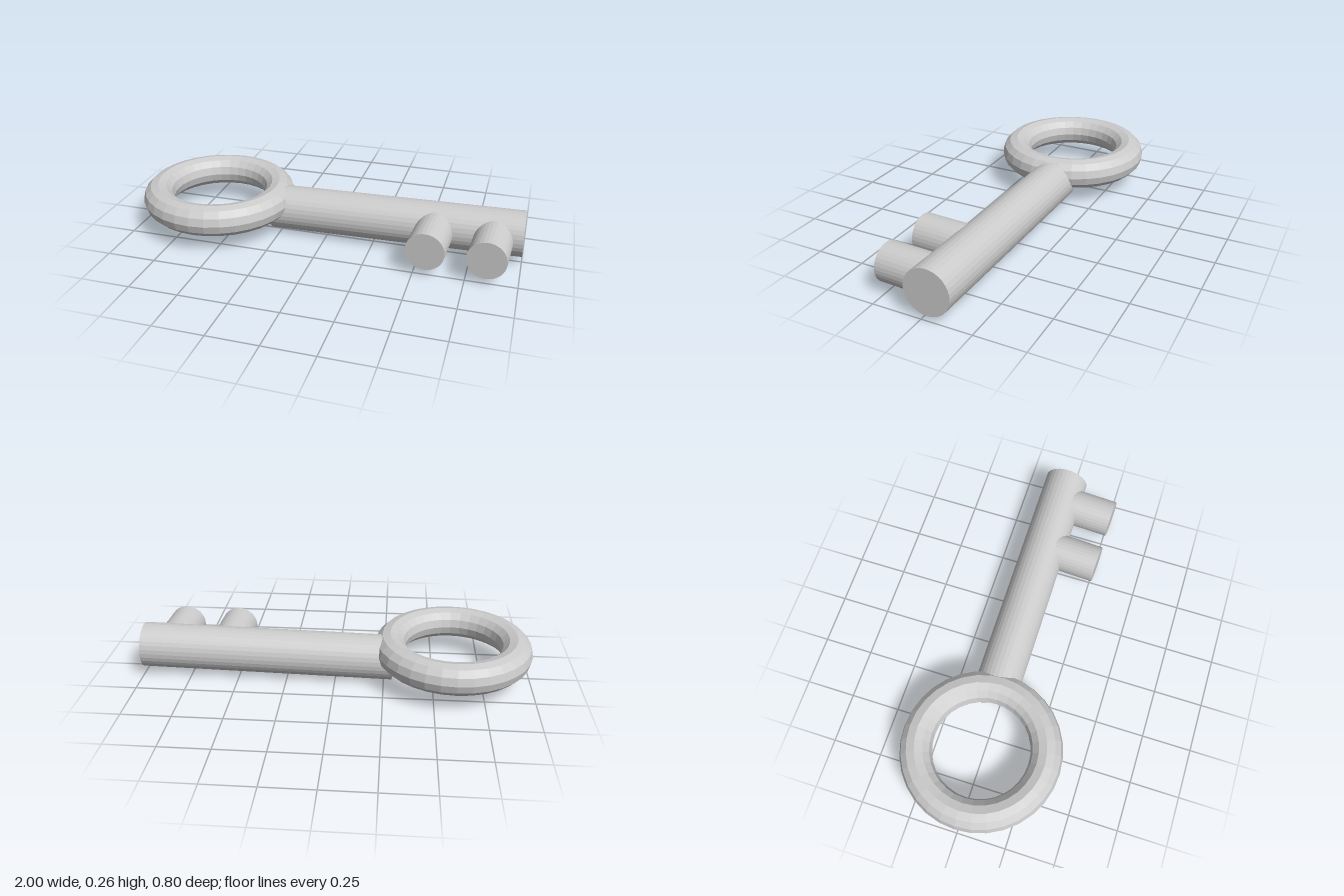
import * as THREE from 'three';

const material = new THREE.MeshStandardMaterial({ color: 0xcccccc, flatShading: true });

// Solid round bar between two points
function rod(name, from, to, radius) {
  const a = new THREE.Vector3(...from), b = new THREE.Vector3(...to);
  const dir = b.clone().sub(a);
  const mesh = new THREE.Mesh(new THREE.CylinderGeometry(radius, radius, dir.length(), 32), material);
  mesh.name = name;
  mesh.position.copy(a).add(b).multiplyScalar(0.5);
  mesh.quaternion.setFromUnitVectors(new THREE.Vector3(0, 1, 0), dir.normalize());
  return mesh;
}

export function createModel() {
  const key = new THREE.Group();
  key.name = 'key';

  // Ring handle lying flat
  const bow = new THREE.Mesh(new THREE.TorusGeometry(0.321, 0.08, 12, 32), material);
  bow.name = 'ringHandle';
  bow.rotation.x = -Math.PI / 2;
  bow.position.set(-0.599, 0.165, 0);
  key.add(bow);

  // Shaft, rising slightly toward its tip
  key.add(rod('shaft', [-0.294, 0.116, -0.033], [0.998, 0.142, -0.033], 0.115));

  // Two slightly slanted teeth
  [0.555, 0.845].forEach((x, i) => {
    key.add(rod(`tooth${i + 1}`, [x + 0.015, 0.132, -0.03], [x, 0.132, 0.267], 0.096));
  });

  return key;
}
